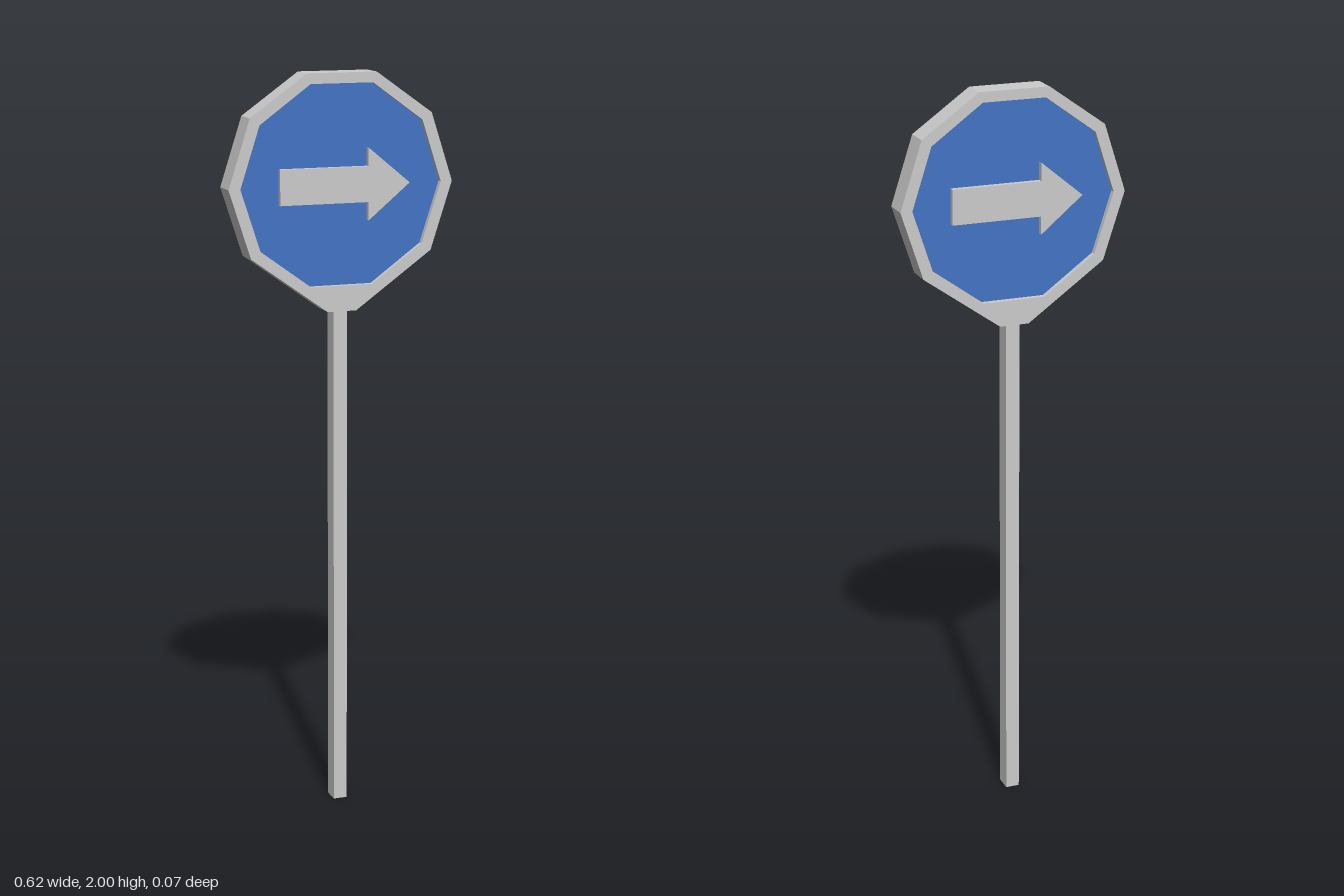
import * as THREE from 'three';

const CENTER_Y = 1.708;
const HALF_DEPTH = 0.036; // frame half thickness
const PANEL_Z = 0.021; // recessed face of the disc

// Corners of a regular decagon with flat top and bottom
function decagon(radius) {
  return Array.from({ length: 10 }, (_, i) => {
    const a = (i * Math.PI) / 5;
    return new THREE.Vector2(radius * Math.cos(a), CENTER_Y + radius * Math.sin(a));
  });
}

// Flat plate running from z0 to z1
function plate(name, shape, z0, z1, material) {
  const geometry = new THREE.ExtrudeGeometry(shape, { depth: z1 - z0, bevelEnabled: false });
  geometry.translate(0, 0, z0);
  const mesh = new THREE.Mesh(geometry, material);
  mesh.name = name;
  return mesh;
}

export function createModel() {
  const grey = new THREE.MeshStandardMaterial({ color: 0xcccccc, flatShading: true });
  const blue = new THREE.MeshStandardMaterial({ color: 0x4474c4, flatShading: true });
  const group = new THREE.Group();
  group.name = 'roadSign';

  // Square-edged pole
  const poleHeight = 1.375;
  const pole = new THREE.Mesh(new THREE.BoxGeometry(0.038, poleHeight, 0.048), grey);
  pole.name = 'pole';
  pole.position.y = poleHeight / 2;
  group.add(pole);

  // Frame: decagon whose two lowest corners are drawn down to the pole
  const outline = decagon(0.31);
  outline[2].y = outline[3].y = 2;
  outline[7].set(-0.04, poleHeight);
  outline[8].set(0.04, poleHeight);
  const frameShape = new THREE.Shape(outline);
  frameShape.holes.push(new THREE.Path(decagon(0.278)));
  group.add(plate('frame', frameShape, -HALF_DEPTH, HALF_DEPTH, grey));

  // Recessed blue disc
  group.add(plate('panel', new THREE.Shape(decagon(0.278)), -PANEL_Z, PANEL_Z, blue));

  // Raised arrow on each face, pointing to the viewer's right
  const half = [[-0.17, 0.047], [0.074, 0.047], [0.074, 0.096]];
  const arrowShape = new THREE.Shape([
    ...half.map(([x, y]) => new THREE.Vector2(x, CENTER_Y + y)),
    new THREE.Vector2(0.19, CENTER_Y),
    ...half.reverse().map(([x, y]) => new THREE.Vector2(x, CENTER_Y - y)),
  ]);
  ['frontArrow', 'backArrow'].forEach((name, i) => {
    const arrow = plate(name, arrowShape, PANEL_Z, HALF_DEPTH, grey);
    arrow.rotation.y = i * Math.PI;
    group.add(arrow);
  });

  return group;
}
